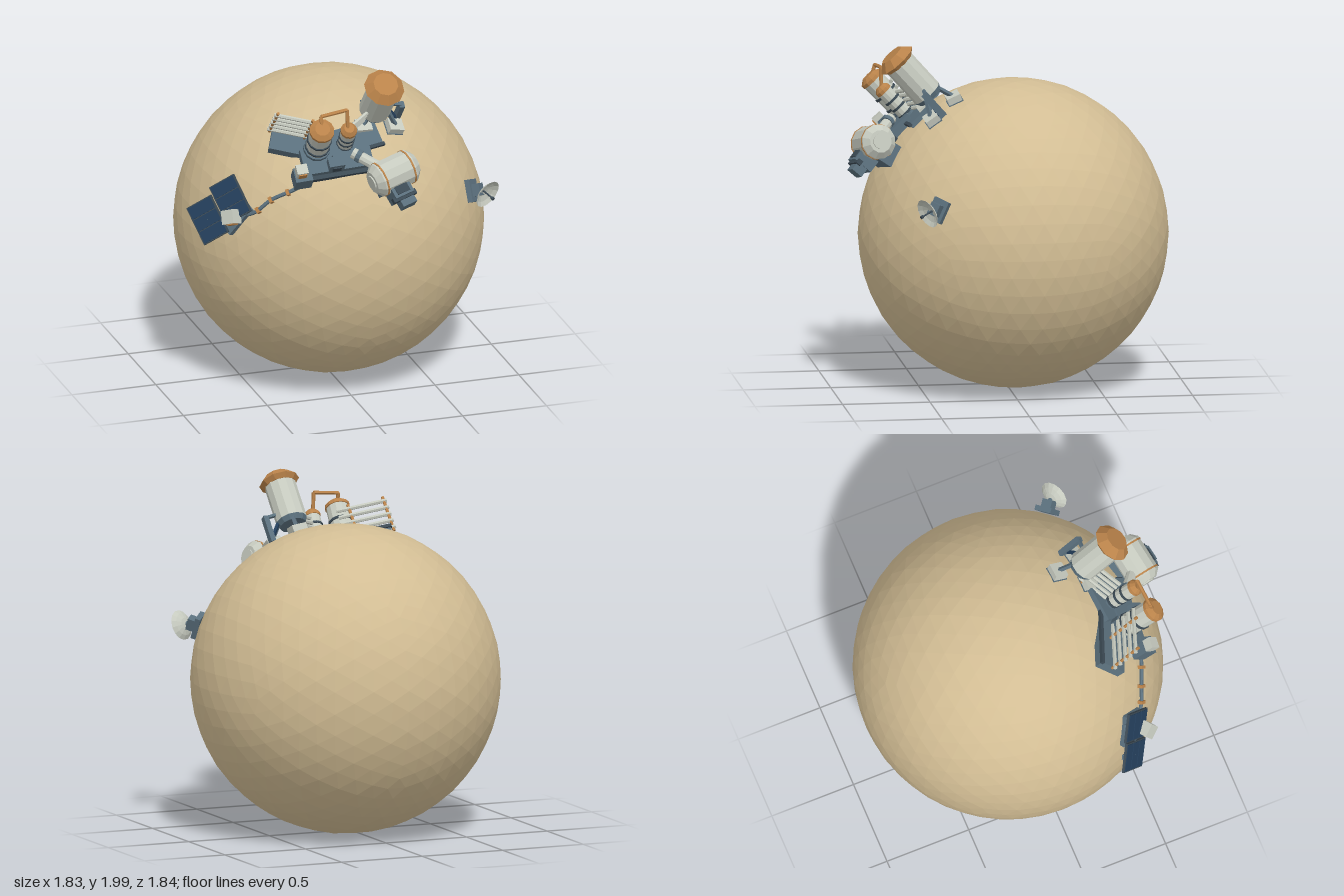
import * as THREE from 'three';

const V = (a) => new THREE.Vector3(...a);
const paint = (name, color, side = THREE.FrontSide) => {
  const m = new THREE.MeshStandardMaterial({ color, flatShading: true, side });
  m.name = name;
  return m;
};

export function createModel() {
  const model = new THREE.Group();
  const sand = paint('sand', 0xd2bd94), slate = paint('slate', 0x5a6f7c), navy = paint('navy', 0x243f5c);
  const pale = paint('pale grey', 0xc6cabf, THREE.DoubleSide), copper = paint('copper', 0xba834a), dark = paint('dark steel', 0x3c4a54);

  const centre = V([0.043, 0.885, -0.037]), R = 0.88;
  const radial = (p) => V(p).sub(centre).normalize();
  const onGround = (p, lift = 0) => radial(p).multiplyScalar(R + lift).add(centre).toArray();

  // A group at pos whose y axis is up and whose x axis leans toward right
  const site = (name, pos, up, right = [1, 0, 0]) => {
    const y = V(up).normalize(), x = V(right);
    x.addScaledVector(y, -x.dot(y)).normalize();
    const g = new THREE.Group();
    g.name = name;
    g.position.set(...pos);
    g.quaternion.setFromRotationMatrix(new THREE.Matrix4().makeBasis(x, y, x.clone().cross(y)));
    model.add(g);
    return g;
  };
  const add = (parent, name, geo, mat, pos = [0, 0, 0]) => {
    const m = new THREE.Mesh(geo, mat);
    m.name = name;
    m.position.set(...pos);
    parent.add(m);
    return m;
  };
  const box = (parent, name, size, mat, pos) => add(parent, name, new THREE.BoxGeometry(...size), mat, pos);
  const drum = (parent, name, r0, r1, h, mat, y, sides = 12) =>
    add(parent, name, new THREE.CylinderGeometry(r1, r0, h, sides), mat, [0, y + h / 2, 0]);
  const rod = (name, a, b, r, mat, sides = 6) => {
    const p = V(a), q = V(b);
    const m = add(model, name, new THREE.CylinderGeometry(r, r, p.distanceTo(q), sides), mat,
      p.clone().add(q).multiplyScalar(0.5).toArray());
    m.quaternion.setFromUnitVectors(V([0, 1, 0]), q.sub(p).normalize());
  };

  // Planet with gently uneven facets
  const ball = new THREE.IcosahedronGeometry(R, 8), bp = ball.attributes.position, v = new THREE.Vector3();
  for (let i = 0; i < bp.count; i++) {
    v.fromBufferAttribute(bp, i);
    v.multiplyScalar(1 + 0.002 * Math.sin(31 * v.x + 5) * Math.sin(27 * v.y + 2) * Math.sin(29 * v.z + 1));
    bp.setXYZ(i, v.x, v.y, v.z);
  }
  ball.computeVertexNormals();
  add(model, 'planet', ball, sand, centre.toArray());

  // Plant platform: two wings and a middle block
  const up = [-0.1, 0.715, 0.69];
  const left = site('leftWing', [-0.25, 1.55, 0.46], up, [0.92, -0.21, 0.33]);
  box(left, 'deck', [0.42, 0.06, 0.17], slate);
  box(left, 'deckRail', [0.43, 0.02, 0.02], dark, [0, 0.03, -0.085]);
  const right = site('rightWing', [0.0, 1.56, 0.51], [0, 0.715, 0.69], [1, 0.13, -0.1]);
  box(right, 'deck', [0.32, 0.06, 0.16], slate);
  box(right, 'deckRail', [0.33, 0.02, 0.02], dark, [0, 0.03, 0.08]);
  const hub = site('hub', [-0.12, 1.495, 0.595], up);
  box(hub, 'hubDeck', [0.4, 0.06, 0.16], slate);
  box(hub, 'hubBlock', [0.09, 0.07, 0.06], slate, [-0.02, 0.05, 0.05]);
  box(hub, 'hubHatch', [0.05, 0.04, 0.008], dark, [-0.02, 0.05, 0.084]);
  box(hub, 'hubSkid', [0.46, 0.03, 0.05], dark, [-0.01, -0.015, 0.08]);

  // Radiators: stacked pipes tied by copper posts
  const radiator = (name, low, high, span, posts) => {
    for (let i = 0; i < 5; i++) {
      const p = V(low).lerp(V(high), i / 4);
      rod(name + 'Pipe', p.toArray(), p.clone().add(V(span)).toArray(), 0.012, pale);
    }
    for (const t of posts) {
      const off = V(span).multiplyScalar(t);
      const lean = V(high).sub(V(low)).multiplyScalar(0.15);
      rod(name + 'Post', V(low).add(off).sub(lean).toArray(), V(high).add(off).add(lean).toArray(), 0.009, copper);
    }
  };
  radiator('leftRadiator', [-0.47, 1.655, 0.41], [-0.47, 1.785, 0.535], [0.27, -0.06, 0.095], [0.06, 0.75]);
  radiator('rightRadiator', [-0.04, 1.6, 0.53], [-0.03, 1.7, 0.62], [0.155, 0.05, -0.1], [0.85]);

  // Two columns with copper caps and a pipe bridging them
  const column = (name, base, r, h, bands) => {
    const g = site(name, base, up);
    drum(g, 'foot', r * 1.15, r * 1.15, 0.05, slate, -0.02);
    drum(g, 'shell', r, r, h, pale, 0);
    for (const b of bands) drum(g, 'band', r * 1.1, r * 1.1, 0.014, dark, h * b);
    drum(g, 'capRim', r * 1.08, r * 1.08, 0.02, copper, h - 0.005);
    drum(g, 'cap', r * 1.08, r * 0.65, 0.022, copper, h + 0.015);
  };
  column('largeColumn', [-0.225, 1.55, 0.555], 0.066, 0.25, [0.2, 0.55]);
  column('smallColumn', [-0.055, 1.545, 0.54], 0.044, 0.21, [0.15, 0.4, 0.65]);
  const bridge = [[-0.25, 1.74, 0.735], [-0.25, 1.815, 0.715], [-0.09, 1.83, 0.7], [-0.085, 1.71, 0.7]];
  for (let i = 0; i < 3; i++) rod('bridgePipe', bridge[i], bridge[i + 1], 0.011, copper);

  // Storage tank
  const tank = site('storageTank', [0.15, 1.72, 0.47], [0, 0.745, 0.665]);
  drum(tank, 'tankShell', 0.09, 0.09, 0.27, pale, 0, 12);
  drum(tank, 'tankBase', 0.075, 0.09, 0.03, slate, -0.03, 12);
  drum(tank, 'capUnderside', 0.092, 0.117, 0.025, copper, 0.235, 10);
  drum(tank, 'capTop', 0.117, 0.072, 0.045, copper, 0.26, 10);

  // Tank legs with footing blocks
  const feet = [[0.18, 1.7, 0.325], [0.27, 1.59, 0.455], [0.08, 1.62, 0.47]];
  const joints = [[0.16, 1.78, 0.46], [0.21, 1.73, 0.49], [0.13, 1.72, 0.48]];
  feet.forEach((f, i) => {
    const foot = site('tankFoot', onGround(f, 0.015), radial(f).toArray());
    box(foot, 'footBlock', [0.09, 0.05, 0.08], pale);
    box(foot, 'footPlate', [0.1, 0.015, 0.09], slate, [0, -0.022, 0]);
    rod('tankLeg', onGround(f, 0.03), joints[i], 0.014, slate, 4);
  });
  const fin = site('tankBrace', [0.3, 1.68, 0.45], [0, 0.75, 0.66]);
  box(fin, 'braceColumn', [0.03, 0.17, 0.04], slate);
  rod('braceStrut', [0.3, 1.62, 0.42], [0.2, 1.75, 0.5], 0.012, navy, 4);
  rod('braceBeam', [0.3, 1.74, 0.5], [0.2, 1.76, 0.5], 0.012, slate, 4);

  // Living capsule lying on its side
  const axis = V([1, 0.25, -0.2]).normalize();
  const pod = site('capsule', [0.16, 1.445, 0.78], axis.toArray(), [0, 0.7, 0.7]);
  const hull = [[0, -0.14], [0.065, -0.14], [0.1, -0.105], [0.1, 0.105], [0.065, 0.14], [0, 0.14]];
  add(pod, 'capsuleHull', new THREE.LatheGeometry(hull.map((p) => new THREE.Vector2(...p)), 12), pale);
  for (const y of [-0.095, 0.085]) drum(pod, 'capsuleBand', 0.103, 0.103, 0.01, copper, y);
  for (const s of [-1, 1]) drum(pod, 'endHatch', 0.045, 0.045, 0.012, pale, s * 0.142 - 0.006);
  const cradle = site('capsuleCradle', [0.165, 1.39, 0.73], radial([0.16, 1.45, 0.78]).toArray(), axis.toArray());
  box(cradle, 'cradleBlock', [0.19, 0.12, 0.13], slate);
  const porch = site('capsulePorch', [0.175, 1.355, 0.83], [0, 0.66, 0.75], axis.toArray());
  box(porch, 'airlock', [0.12, 0.12, 0.1], slate);
  box(porch, 'airlockDoor', [0.08, 0.008, 0.07], dark, [0, 0.062, 0]);
  box(porch, 'airlockSill', [0.15, 0.03, 0.03], dark, [0, 0.03, 0.05]);
  box(porch, 'step', [0.09, 0.07, 0.06], slate, [0.01, 0, 0.075]);
  rod('walkway', [-0.04, 1.545, 0.65], [0.1, 1.47, 0.75], 0.032, pale, 10);
  rod('walkwayCollar', [-0.02, 1.535, 0.665], [0.0, 1.525, 0.68], 0.038, slate, 10);

  // Junction box
  const junction = site('junctionBox', [-0.335, 1.42, 0.63], up);
  box(junction, 'junctionBase', [0.1, 0.1, 0.09], slate);
  box(junction, 'junctionHead', [0.065, 0.06, 0.06], pale, [-0.01, 0.075, -0.01]);
  box(junction, 'junctionPanel', [0.045, 0.04, 0.008], copper, [-0.01, 0.075, 0.023]);

  // Ground cable with clips
  const stops = [[-0.33, 1.38, 0.63], [-0.4, 1.35, 0.62], [-0.5, 1.28, 0.56], [-0.58, 1.2, 0.52], [-0.65, 1.15, 0.43]];
  const cable = new THREE.CatmullRomCurve3(stops.map((p) => V(onGround(p, 0.015))));
  add(model, 'cable', new THREE.TubeGeometry(cable, 24, 0.011, 6), slate);
  for (const t of [0.3, 0.5, 0.7]) {
    const p = cable.getPoint(t).toArray();
    box(site('cableClip', p, radial(p).toArray(), cable.getTangent(t).toArray()), 'clip', [0.018, 0.03, 0.035], copper);
  }

  // Solar station
  const basePos = [-0.66, 1.16, 0.42], baseUp = radial(basePos).toArray();
  const station = site('solarStation', onGround(basePos, 0.01), baseUp, [0.45, 0.75, 0.3]);
  box(station, 'stationBase', [0.2, 0.035, 0.13], slate);
  box(station, 'stationMount', [0.06, 0.07, 0.06], slate, [0, 0.04, -0.02]);
  const cabinet = site('stationCabinet', [-0.715, 1.18, 0.5], baseUp, [1, 0.2, 0.5]);
  box(cabinet, 'cabinetBody', [0.08, 0.08, 0.08], pale);
  box(cabinet, 'cabinetPanel', [0.05, 0.05, 0.008], copper, [0, 0, 0.042]);
  for (const p of [[-0.815, 1.13, 0.38], [-0.7, 1.265, 0.44]]) {
    const panel = site('solarPanel', p, [-0.65, 0.3, 0.7], [0.14, 0.11, 0.083]);
    box(panel, 'panelFrame', [0.17, 0.014, 0.235], dark);
    for (const s of [-1, 0, 1]) box(panel, 'solarCells', [0.155, 0.008, 0.07], navy, [0, 0.007, s * 0.076]);
    box(panel, 'panelRib', [0.03, 0.02, 0.2], slate, [0, -0.015, 0]);
    rod('panelStrut', p, onGround([-0.68, 1.17, 0.4], 0.06), 0.012, slate);
  }

  // Dish antenna
  const dishBase = [0.735, 1.16, 0.49];
  const mount = site('dishMount', onGround(dishBase, 0.02), radial(dishBase).toArray(), [0.4, 0.9, 0]);
  box(mount, 'mountPlate', [0.13, 0.03, 0.1], slate);
  box(mount, 'mountBlock', [0.07, 0.06, 0.06], slate, [0, 0.03, 0]);
  const dish = site('dish', [0.78, 1.165, 0.525], [0.45, -0.35, 0.82]);
  const bowl = [[0, 0], [0.035, 0.005], [0.065, 0.018], [0.087, 0.036]];
  add(dish, 'bowl', new THREE.LatheGeometry(bowl.map((p) => new THREE.Vector2(...p)), 14), pale);
  drum(dish, 'feedRod', 0.005, 0.005, 0.075, dark, 0, 6);
  drum(dish, 'feedHorn', 0.01, 0.01, 0.015, dark, 0.07, 6);
  rod('dishArm', onGround(dishBase, 0.04), [0.78, 1.165, 0.525], 0.013, slate);

  return model;
}
